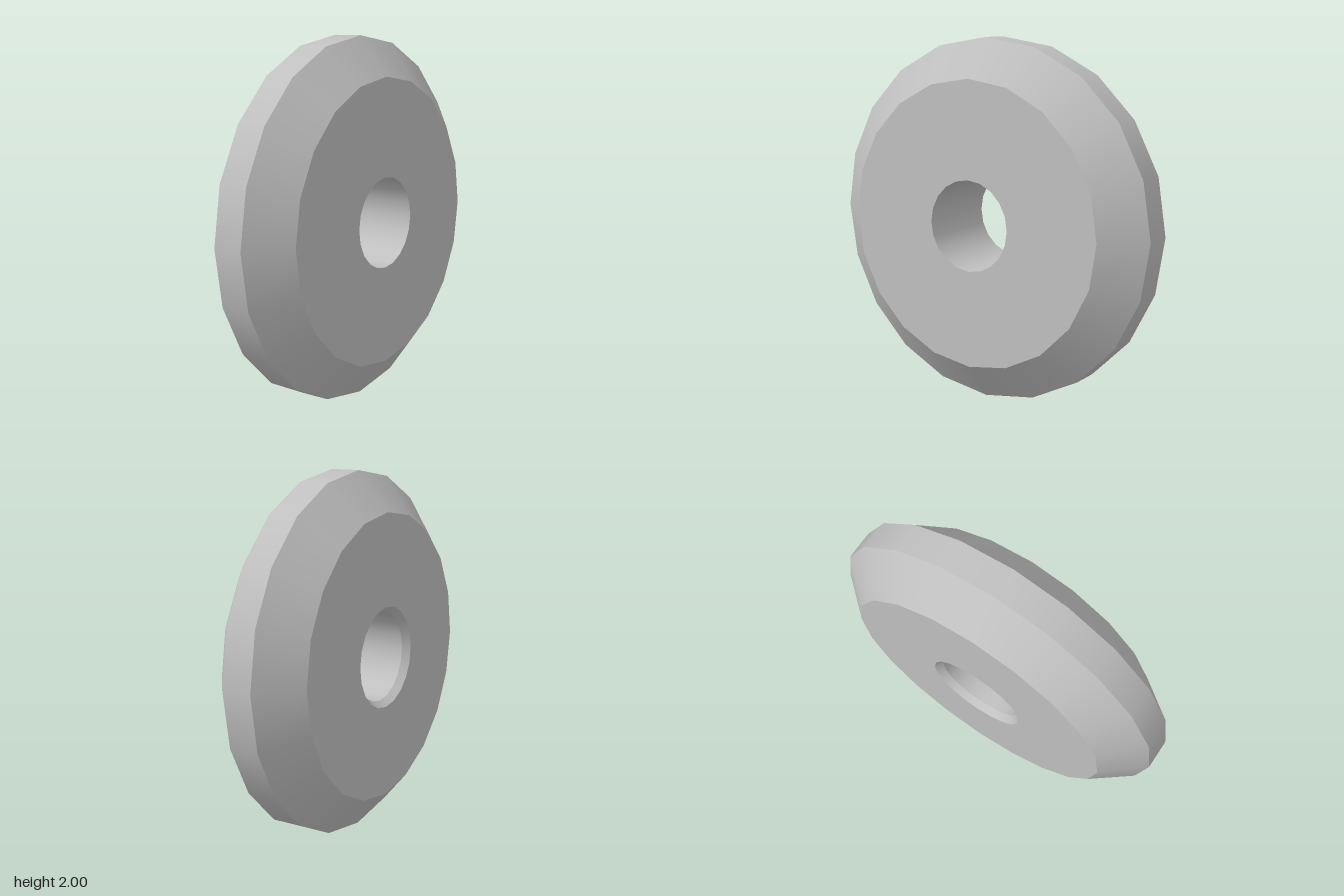
import * as THREE from 'three';

const SIDES = 20;

// Closed cross-section [radius, z], each edge becomes one crisp band
const PROFILE = [
  ['backBevel', 0.787, -0.257],
  ['rim', 1, -0.077],
  ['frontBevel', 1, 0.09],
  ['frontFace', 0.787, 0.257],
  ['bore', 0.25, 0.257],
  ['boreChamfer', 0.25, -0.217],
  ['backFace', 0.28, -0.257],
];

export function createModel() {
  const model = new THREE.Group();
  model.name = 'bevelledWheel';
  const grey = new THREE.MeshStandardMaterial({ color: 0xc0c0c0 });
  grey.name = 'grey';

  // Separate lathes keep the edges sharp while each band is smooth around
  PROFILE.forEach(([name, r, z], i) => {
    const [, r2, z2] = PROFILE[(i + 1) % PROFILE.length];
    const geometry = new THREE.LatheGeometry(
      [new THREE.Vector2(r, z), new THREE.Vector2(r2, z2)], SIDES);
    geometry.rotateX(Math.PI / 2);
    const band = new THREE.Mesh(geometry, grey);
    band.name = name;
    band.position.y = 1;
    model.add(band);
  });
  return model;
}
